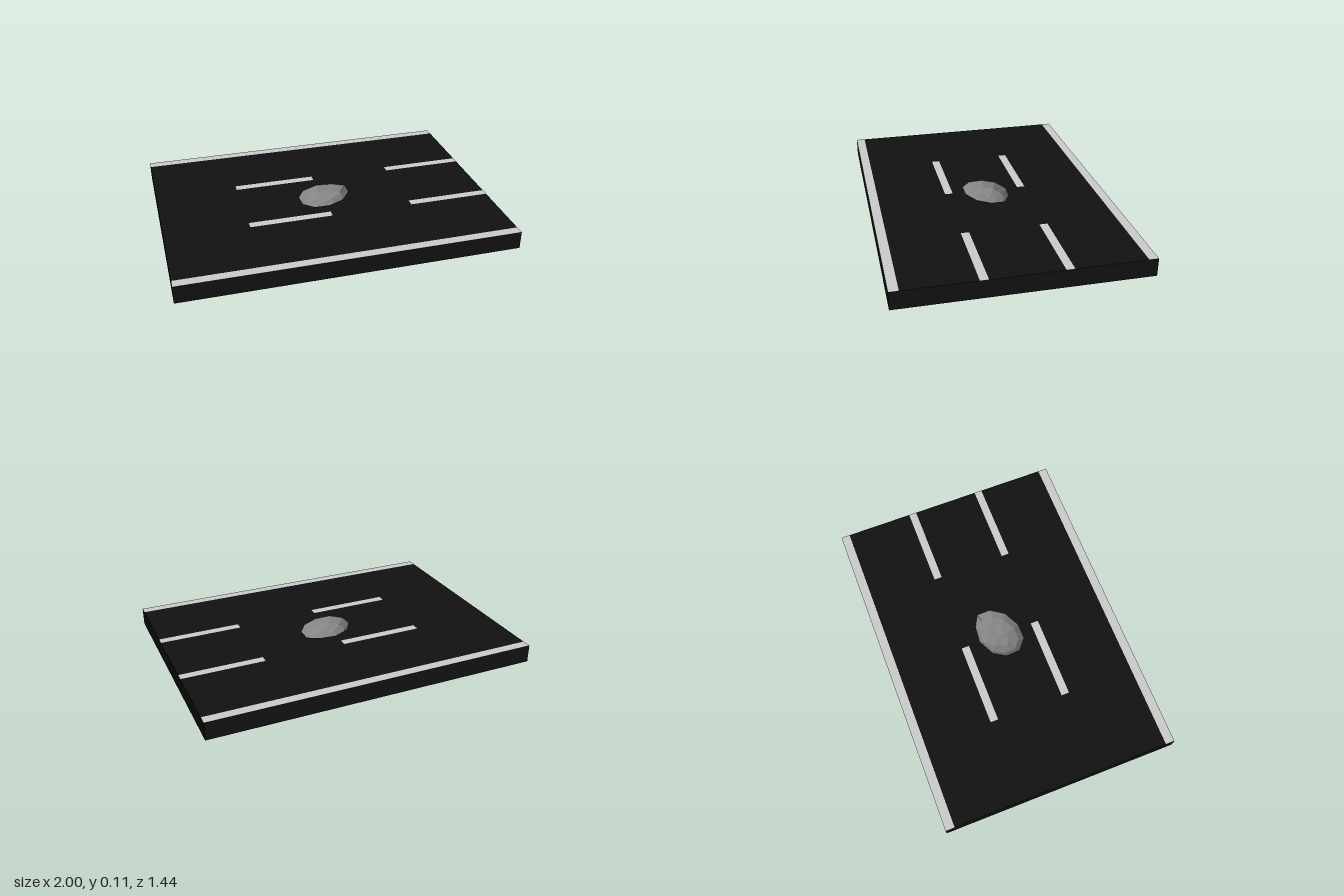
import * as THREE from 'three';

const TOP = 0.107, BASE = 0.02, HALF_X = 1, HALF_Z = 0.72;

// Pothole rim as [x, z], running clockwise seen from above
const RIM = [[-0.145, -0.01], [-0.1, -0.085], [0, -0.135], [0.1, -0.125], [0.175, -0.085],
  [0.175, 0], [0.12, 0.08], [0.02, 0.13], [-0.075, 0.13], [-0.14, 0.075]];

const asphalt = new THREE.MeshStandardMaterial({ color: 0x111111 });
const paint = new THREE.MeshStandardMaterial({ color: 0xcccccc });
const gravel = new THREE.MeshStandardMaterial({ color: 0x858585, flatShading: true });

function addMesh(group, name, geometry, material, x = 0, y = 0, z = 0) {
  const mesh = new THREE.Mesh(geometry, material);
  mesh.name = name;
  mesh.position.set(x, y, z);
  group.add(mesh);
}

// Faceted bowl lofted from shrinking copies of the rim
function bowlGeometry() {
  const cx = 0.01, cz = -0.01;
  const levels = [[1, 0], [0.8, 0.035], [0.45, 0.056]];
  const n = RIM.length, pos = [], index = [];
  levels.forEach(([s, drop], ring) => RIM.forEach(([x, z], i) => {
    const wobble = ring ? 0.004 * Math.sin(i * 2.3 + ring) : 0;
    pos.push(cx + (x - cx) * s, TOP - drop + wobble, cz + (z - cz) * s);
  }));
  pos.push(cx, TOP - 0.062, cz);
  for (let i = 0; i < n; i++) {
    const j = (i + 1) % n;
    for (let r = 0; r < levels.length - 1; r++) {
      const a = r * n + i, b = r * n + j;
      index.push(a, a + n, b, b, a + n, b + n);
    }
    const last = (levels.length - 1) * n;
    index.push(last + i, levels.length * n, last + j);
  }
  const geometry = new THREE.BufferGeometry();
  geometry.setAttribute('position', new THREE.Float32BufferAttribute(pos, 3));
  geometry.setIndex(index);
  const flat = geometry.toNonIndexed();
  flat.computeVertexNormals();
  return flat;
}

export function createModel() {
  const group = new THREE.Group();
  group.name = 'roadSection';

  // Road slab: solid base under a layer with the pothole cut out
  addMesh(group, 'roadBase', new THREE.BoxGeometry(2 * HALF_X, BASE, 2 * HALF_Z), asphalt, 0, BASE / 2, 0);
  const outline = new THREE.Shape([[-HALF_X, -HALF_Z], [HALF_X, -HALF_Z], [HALF_X, HALF_Z], [-HALF_X, HALF_Z]]
    .map(([x, y]) => new THREE.Vector2(x, y)));
  outline.holes.push(new THREE.Path(RIM.map(([x, z]) => new THREE.Vector2(x, -z))));
  const surface = new THREE.ExtrudeGeometry(outline, { depth: TOP - BASE, bevelEnabled: false });
  surface.rotateX(-Math.PI / 2);
  addMesh(group, 'roadSurface', surface, asphalt, 0, BASE, 0);

  addMesh(group, 'pothole', bowlGeometry(), gravel);

  // Painted edge lines and lane dashes, lying just above the surface
  const stripe = (name, length, width, x, z) => {
    const plane = new THREE.PlaneGeometry(length, width).rotateX(-Math.PI / 2);
    addMesh(group, name, plane, paint, x, TOP + 0.001, z);
  };
  for (const side of [-1, 1]) {
    stripe('edgeLine', 2 * HALF_X, 0.055, 0, side * (HALF_Z - 0.0275));
    for (const x of [-0.25, 0.75]) stripe('laneDash', 0.5, 0.048, x, side * 0.23);
  }
  return group;
}
